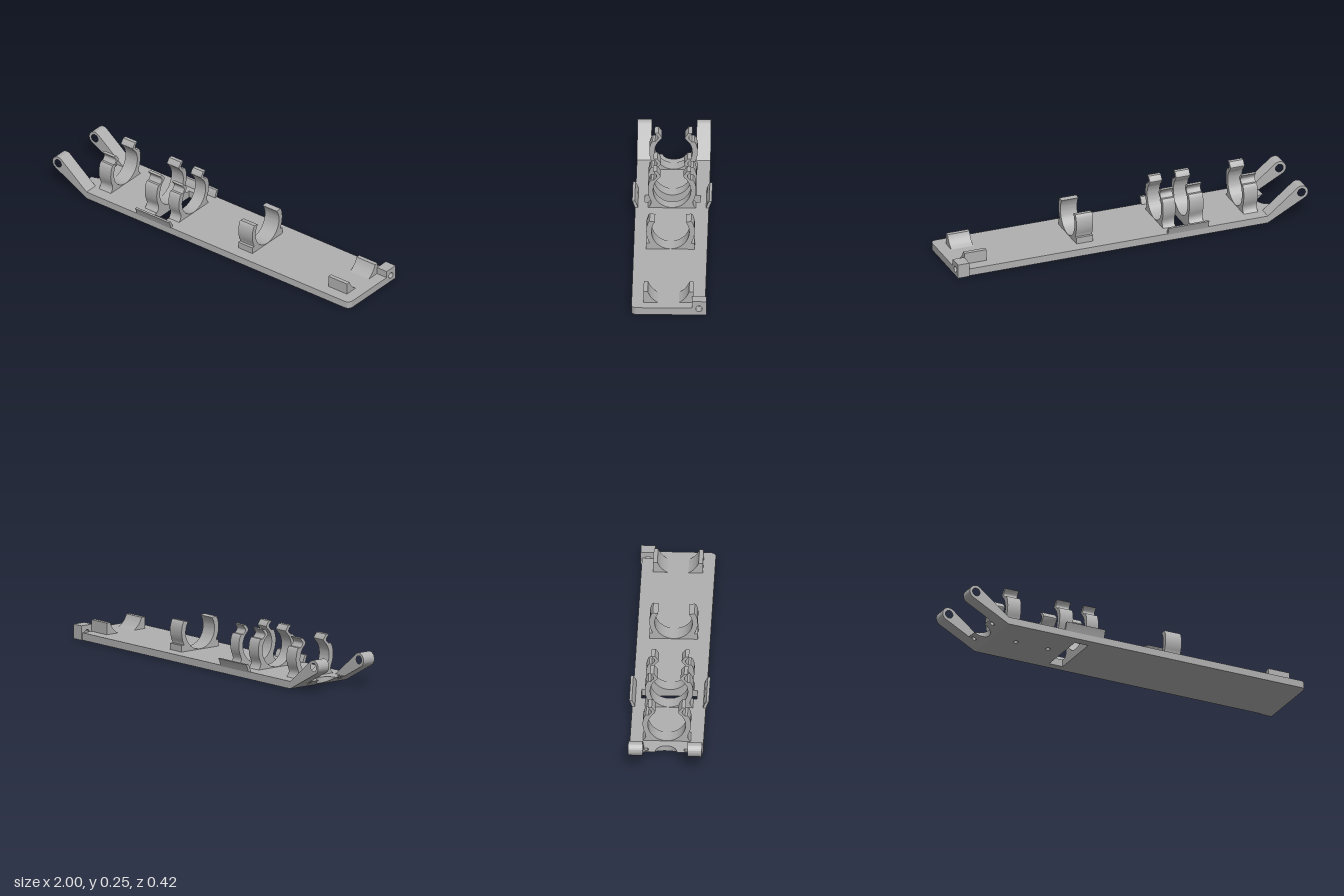
import * as THREE from 'three';
import { toCreasedNormals } from 'three/addons/utils/BufferGeometryUtils.js';

const grey = new THREE.MeshStandardMaterial({ color: 0xb0b0b0 });
grey.name = 'grey plastic';

export function createModel() {
  const model = new THREE.Group();
  model.name = 'cableTray';

  const add = (name, geometry) => {
    const mesh = new THREE.Mesh(toCreasedNormals(geometry, 0.6), grey);
    mesh.name = name;
    model.add(mesh);
  };
  const extrude = (shape, depth) =>
    new THREE.ExtrudeGeometry(shape, { depth, bevelEnabled: false, curveSegments: 24 });
  // profile in (z, y), swept from x0 to x1
  const alongX = (shape, x0, x1) =>
    extrude(shape, x1 - x0).rotateY(Math.PI / 2).translate(x0, 0, 0);
  // outline in (x, z), swept from y0 to y1
  const alongY = (shape, y0, y1) =>
    extrude(shape, y1 - y0).rotateX(Math.PI / 2).translate(0, y1, 0);
  const poly = (pts) => new THREE.Shape(pts.map(([x, y]) => new THREE.Vector2(x, y)));
  const circle = (x, y, r) => new THREE.Path().absarc(x, y, r, 0, Math.PI * 2, true);
  const mirrored = (pts, s) => poly(pts.map(([z, y]) => [s * z, y]));
  // points on a circle round the clip axis, angle measured from straight down
  const arc = (r, a0, a1, n) => Array.from({ length: n + 1 }, (_, i) => {
    const a = a0 + (a1 - a0) * i / n;
    return [r * Math.sin(a), 0.142 - r * Math.cos(a)];
  });

  // base plate with a slot; the lower layer also has two blind holes
  const outline = () => {
    const s = new THREE.Shape();
    s.moveTo(-0.77, -0.195);
    s.lineTo(0.935, -0.195);
    s.lineTo(0.935, -0.126);
    s.lineTo(1, -0.126);
    s.lineTo(1, 0.165);
    s.absarc(0.97, 0.165, 0.03, 0, Math.PI / 2, false);
    s.lineTo(-0.77, 0.195);
    s.holes.push(poly([[-0.35, -0.15], [-0.27, -0.15], [-0.27, 0.145], [-0.35, 0.145]]));
    return s;
  };
  const lower = outline();
  lower.holes.push(circle(-0.44, 0.01, 0.013), circle(-0.63, 0.01, 0.013));
  add('basePlateLower', alongY(lower, 0, 0.02));
  add('basePlateUpper', alongY(outline(), 0.02, 0.04));

  // wedge-shaped tongue between the arms, with a round notch
  const tongue = new THREE.Shape();
  tongue.moveTo(-0.77, -0.12);
  tongue.lineTo(-0.77, 0.12);
  tongue.lineTo(-0.843, 0.12);
  tongue.lineTo(-0.843, 0.058);
  tongue.absarc(-0.843, 0, 0.058, Math.PI / 2, -Math.PI / 2, true);
  tongue.lineTo(-0.843, -0.12);
  tongue.holes.push(circle(-0.82, 0.105, 0.012), circle(-0.82, -0.105, 0.012));
  const wedge = alongY(tongue, 0, 0.04);
  const p = wedge.attributes.position;
  for (let i = 0; i < p.count; i++) {
    if (p.getY(i) < 0.02) p.setY(i, (-0.77 - p.getX(i)) * 0.533);
  }
  add('notchedTongue', wedge);

  // rising arms with eyelets
  for (const z of [-0.195, 0.119]) {
    const s = new THREE.Shape();
    s.moveTo(-0.77, 0);
    s.lineTo(-0.981, 0.112);
    s.absarc(-0.962, 0.145, 0.038, -2.06, 0.9, true);
    s.lineTo(-0.77, 0.04);
    s.holes.push(circle(-0.962, 0.145, 0.022));
    add('hingeArm', extrude(s, 0.076).translate(0, 0, z));
  }

  // spring clips: bore, optional bent lip, outer wall and flared foot
  const bore = arc(0.1, 0, 2.186, 28);
  const lip = [[0.063, 0.22], [0.061, 0.226], [0.063, 0.232], [0.08, 0.254], [0.1, 0.254],
    [0.083, 0.233], [0.081, 0.226], [0.083, 0.219], [0.097, 0.204]];
  const wall = [[0.11, 0.204], [0.116, 0.199], [0.122, 0.185], [0.127, 0.165], [0.128, 0.142],
    [0.126, 0.12], [0.12, 0.098], [0.112, 0.08]];
  const foot = [[0.111, 0.066], [0.116, 0.052], [0.127, 0.04], [0.127, 0.035], [0, 0.035]];
  const pad = [[0.112, 0.075], [0.128, 0.075], [0.128, 0.035], [0, 0.035]];
  const clips = [
    ['tallClip', -0.74, -0.66, [...bore, ...lip, ...wall, ...foot]],
    ['tallClip', -0.43, -0.35, [...bore, ...lip, ...wall, ...foot]],
    ['tallClip', -0.27, -0.2, [...bore, ...lip, ...wall, ...foot]],
    ['openClip', 0.2, 0.295, [...bore, ...wall, ...pad]],
    // low cradle at the end
    ['endCradle', 0.81, 0.935,
      [[0.055, 0.035], ...arc(0.116, 0.495, 1.23, 10), [0.132, 0.103], [0.132, 0.035]]],
  ];
  // leaning side tabs beside the slot
  const tab = [[0.179, 0.035], [0.186, 0.06], [0.197, 0.079], [0.211, 0.079],
    [0.203, 0.06], [0.195, 0.035]];
  for (const s of [-1, 1]) {
    for (const [name, x0, x1, pts] of clips) add(name, alongX(mirrored(pts, s), x0, x1));
    add('sideTab', alongX(mirrored(tab, s), -0.43, -0.2));
  }

  // drilled corner block
  const block = poly([[0.126, 0], [0.202, 0], [0.202, 0.078], [0.126, 0.078]]);
  block.holes.push(circle(0.163, 0.036, 0.017));
  add('cornerBlock', alongX(block, 0.935, 1));

  return model;
}
